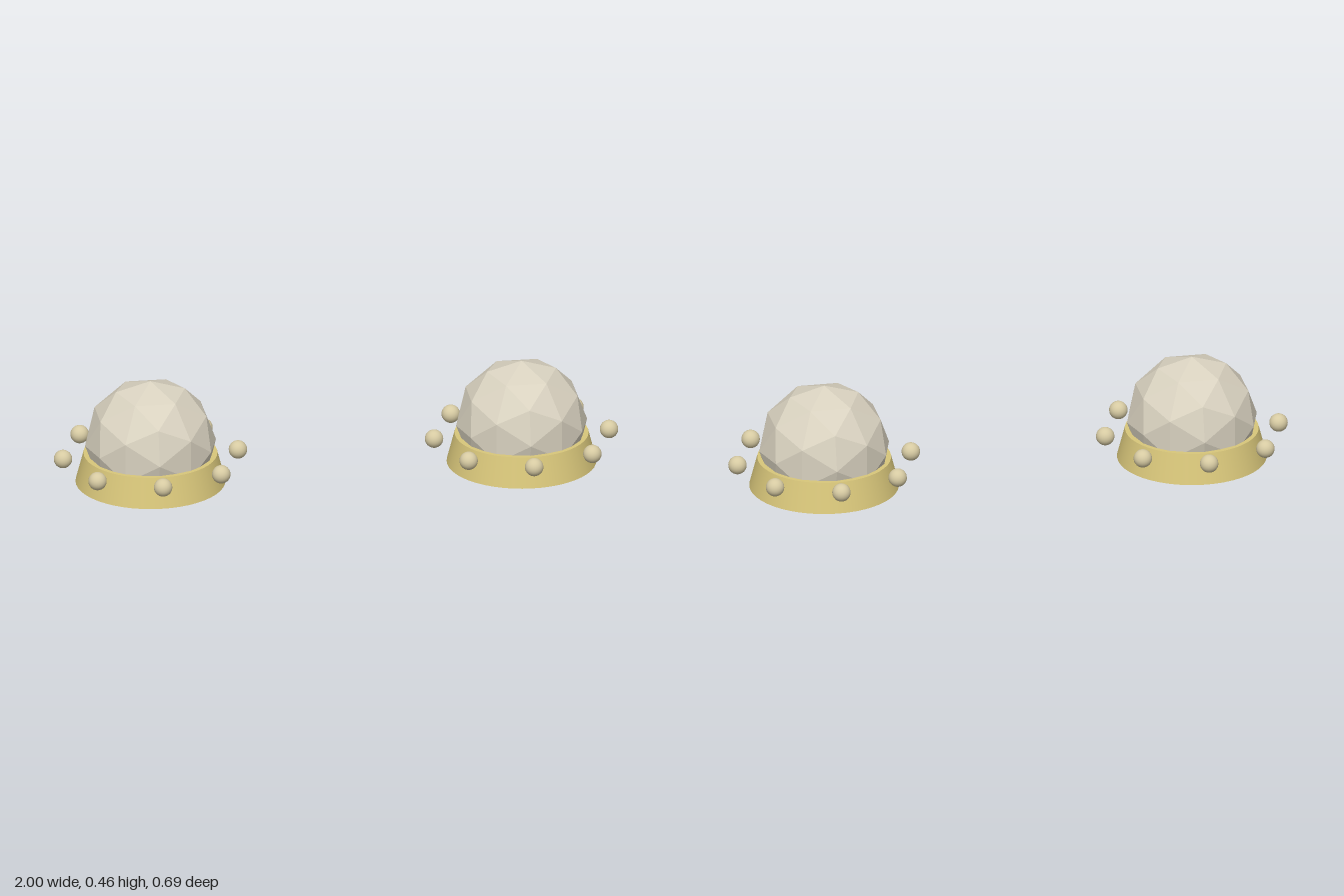
import * as THREE from 'three';

const gold = new THREE.MeshStandardMaterial({ name: 'gold', color: 0xd8c67a });
const stone = new THREE.MeshStandardMaterial({ name: 'paleStone', color: 0xd8d1bf, flatShading: true });
const pearl = new THREE.MeshStandardMaterial({ name: 'pearl', color: 0xd6caa2 });

function addMesh(parent, name, geometry, material, x, y, z) {
  const mesh = new THREE.Mesh(geometry, material);
  mesh.name = name;
  mesh.position.set(x, y, z);
  parent.add(mesh);
  return mesh;
}

// One faceted gem in a flared collar, ringed by eight floating beads
function createOrnament(name, x) {
  const ornament = new THREE.Group();
  ornament.name = name;
  ornament.position.x = x;

  addMesh(ornament, 'gem', new THREE.IcosahedronGeometry(0.232, 1), stone, 0, 0.232, 0);
  addMesh(ornament, 'collar', new THREE.CylinderGeometry(0.235, 0.263, 0.107, 48), gold, 0, 0.14, 0);

  const beadGeometry = new THREE.SphereGeometry(0.0325, 24, 16);
  for (let i = 0; i < 8; i++) {
    const a = (i * Math.PI) / 4;
    addMesh(ornament, 'bead', beadGeometry, pearl, 0.31 * Math.cos(a), 0.187, 0.31 * Math.sin(a));
  }
  return ornament;
}

export function createModel() {
  const model = new THREE.Group();
  model.name = 'ornamentPair';
  model.add(createOrnament('leftOrnament', 0.6575), createOrnament('rightOrnament', -0.6575));
  return model;
}
